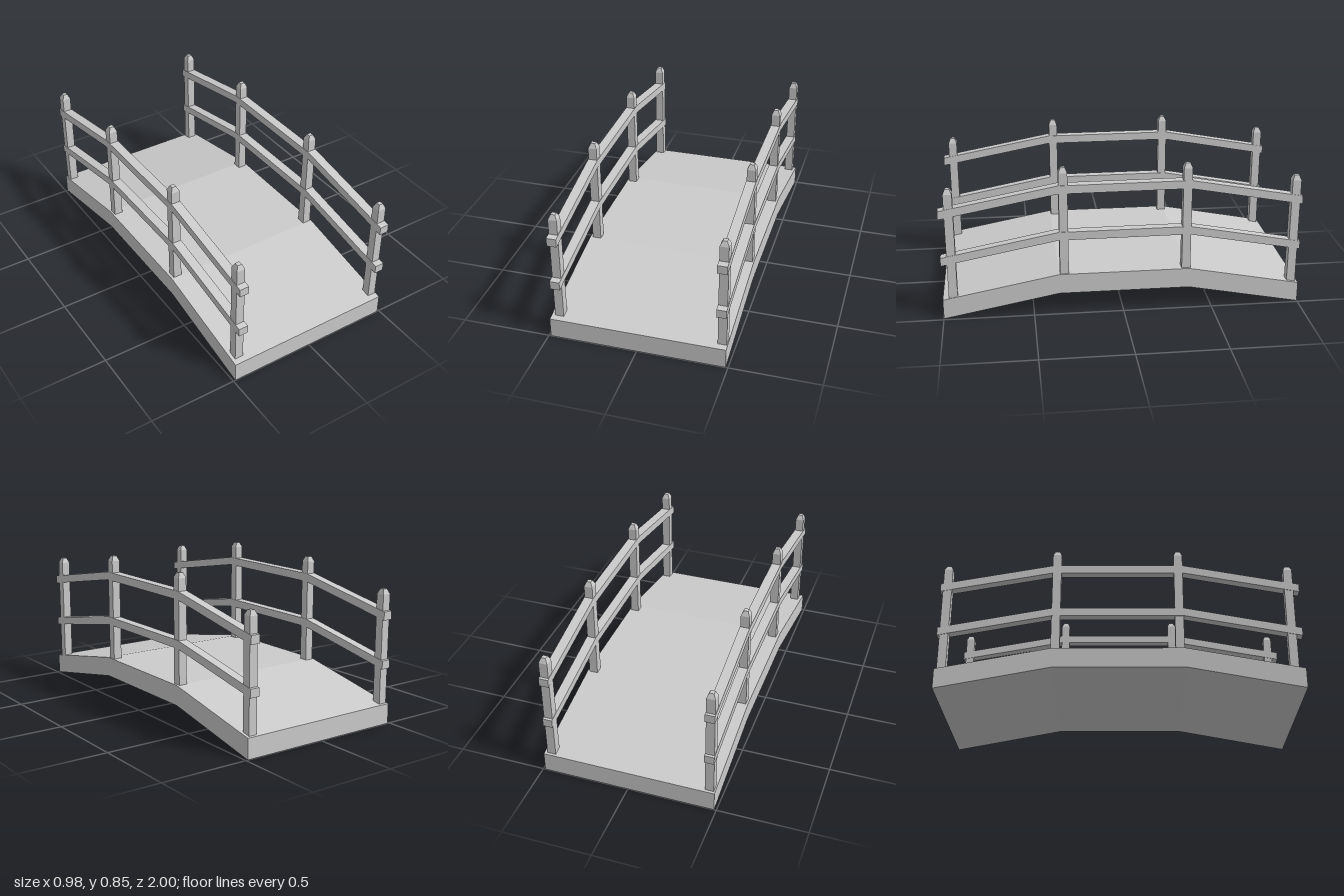
import * as THREE from 'three';

const material = new THREE.MeshStandardMaterial({ color: 0xcccccc, flatShading: true });
const SKEW = 0.0065; // railings run very slightly askew to the deck

// Arched beam along z: level in the middle, sloping down to both ends.
function archedBeam(endY, midY, height, width) {
  const line = [[-1, endY], [-0.37, midY], [0.357, midY], [1, endY]];
  const shape = new THREE.Shape([
    ...line.map(([z, y]) => new THREE.Vector2(z, y)),
    ...line.reverse().map(([z, y]) => new THREE.Vector2(z, y + height)),
  ]);
  const geometry = new THREE.ExtrudeGeometry(shape, { depth: width, bevelEnabled: false });
  return geometry.translate(0, 0, -width / 2).rotateY(-Math.PI / 2);
}

// Square post with a tapered, flat-topped cap.
function post(baseY, topY) {
  const r = 0.0245 * Math.SQRT2;
  const profile = [[0, baseY], [r, baseY], [r, topY - 0.028], [r * 0.5, topY], [0, topY]];
  const points = profile.map(([x, y]) => new THREE.Vector2(x, y));
  return new THREE.LatheGeometry(points, 4).rotateY(Math.PI / 4);
}

export function createModel() {
  const model = new THREE.Group();
  model.name = 'footbridge';

  const add = (parent, name, geometry) => {
    const mesh = new THREE.Mesh(geometry, material);
    mesh.name = name;
    parent.add(mesh);
    return mesh;
  };

  // Deck
  add(model, 'deck', archedBeam(0, 0.121, 0.114, 0.976));

  // Railings: two rails and four posts on each side
  for (const [side, x] of [['left', 0.453], ['right', -0.45]]) {
    const railing = new THREE.Group();
    railing.name = side + 'Railing';
    railing.position.x = x;
    model.add(railing);

    for (const [name, endY, midY] of [['upperRail', 0.588, 0.706], ['lowerRail', 0.317, 0.437]]) {
      const skewed = archedBeam(endY, midY, 0.047, 0.054);
      skewed.applyMatrix4(new THREE.Matrix4().makeShear(0, 0, 0, 0, SKEW, 0));
      add(railing, name, skewed);
    }

    for (const [name, z, baseY, topY] of [
      ['frontPost', 0.942, 0.118, 0.755],
      ['frontMiddlePost', 0.328, 0.23, 0.85],
      ['backMiddlePost', -0.353, 0.23, 0.85],
      ['backPost', -0.962, 0.115, 0.755],
    ]) {
      add(railing, name, post(baseY, topY)).position.set(SKEW * z, 0, z);
    }
  }
  return model;
}
